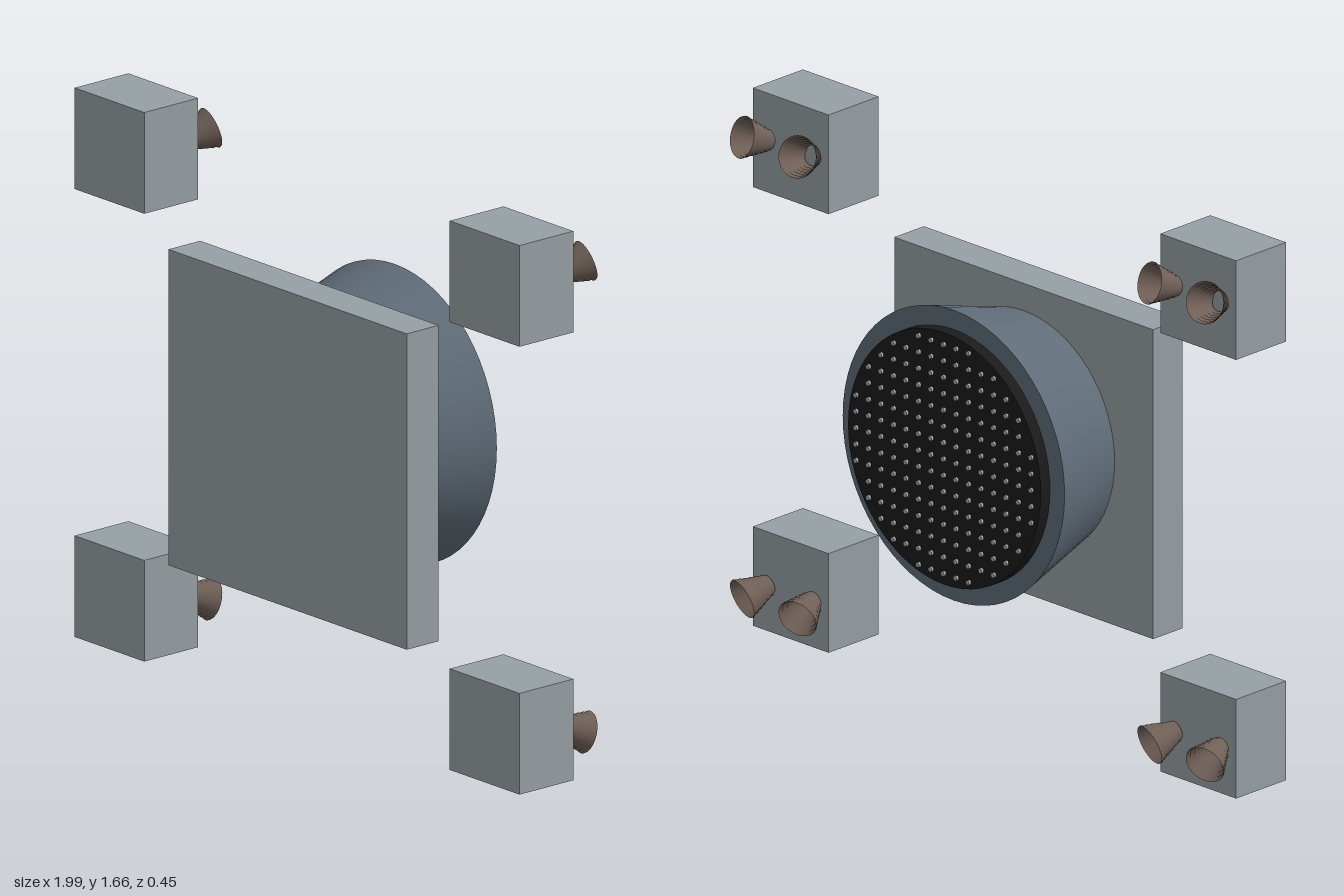
import * as THREE from 'three';

const mat = (name, color, side = THREE.FrontSide) => {
  const m = new THREE.MeshStandardMaterial({ color, side });
  m.name = name;
  return m;
};

export function createModel() {
  const grey = mat('panel grey', 0x969fa4);
  const slate = mat('slate', 0x5f6c78);
  const black = mat('grille black', 0x1b1b1b);
  const silver = mat('stud silver', 0xa6aaac);
  const bronze = mat('nozzle bronze', 0x6f5f57, THREE.DoubleSide);

  const model = new THREE.Group();
  model.name = 'thrusterAssembly';
  const add = (parent, name, geometry, material, x, y, z) => {
    const mesh = new THREE.Mesh(geometry, material);
    mesh.name = name;
    mesh.position.set(x, y, z);
    parent.add(mesh);
    return mesh;
  };

  // mounting plate
  add(model, 'mountingPlate', new THREE.BoxGeometry(1.045, 0.955, 0.121), grey, 0, 0.8125, 0.1655);

  // main engine, opening towards the back
  const engine = new THREE.Group();
  engine.name = 'mainEngine';
  engine.position.y = 0.839;
  model.add(engine);
  const disc = (front, back, depth, sides) =>
    new THREE.CylinderGeometry(back, front, depth, sides).rotateX(-Math.PI / 2);
  add(engine, 'engineHousing', disc(0.367, 0.448, 0.287, 64), slate, 0, 0, -0.0385);
  add(engine, 'engineGrille', disc(0.389, 0.389, 0.04, 64), black, 0, 0, -0.2);

  // round field of small studs on a square grid
  const spots = [];
  for (let i = -7; i <= 7; i++)
    for (let j = -7; j <= 7; j++)
      if (i * i + j * j <= 54) spots.push([i * 0.0505, j * 0.0505]);
  const studs = new THREE.InstancedMesh(disc(0.0075, 0.0075, 0.012, 10), silver, spots.length);
  studs.name = 'grilleStuds';
  spots.forEach(([x, y], k) => studs.setMatrixAt(k, new THREE.Matrix4().makeTranslation(x, y, -0.222)));
  engine.add(studs);

  // ribbed, open nozzle: each rib steps out slightly
  const profile = [];
  const ribs = 6, length = 0.098;
  for (let i = 0; i < ribs; i++) {
    const r = t => 0.027 + 0.034 * t;
    profile.push(new THREE.Vector2(r(i / ribs), (i / ribs) * length));
    profile.push(new THREE.Vector2(r((i + 1) / ribs) + 0.0015, ((i + 0.8) / ribs) * length));
  }
  profile.push(new THREE.Vector2(0.061, length));
  const nozzleGeometry = new THREE.LatheGeometry(profile, 28);

  // four corner blocks, each with two splayed nozzles
  const blockGeometry = new THREE.BoxGeometry(0.306, 0.306, 0.205);
  const up = new THREE.Vector3(0, 1, 0);
  for (const side of [-1, 1]) {
    for (const level of [-1, 1]) {
      const thruster = new THREE.Group();
      thruster.name = (level > 0 ? 'upper' : 'lower') + (side > 0 ? 'Left' : 'Right') + 'Thruster';
      thruster.position.set(side * 0.8225, 0.83 + level * 0.677, 0.0875);
      model.add(thruster);
      add(thruster, 'thrusterBlock', blockGeometry, grey, 0, 0, 0);
      for (const s of [-1, 1]) {
        const nozzle = add(thruster, 'nozzle', nozzleGeometry, bronze, s * 0.087, level * 0.006, -0.099);
        nozzle.quaternion.setFromUnitVectors(up, new THREE.Vector3(s * 0.25, level * 0.31, -0.92).normalize());
      }
    }
  }
  return model;
}
